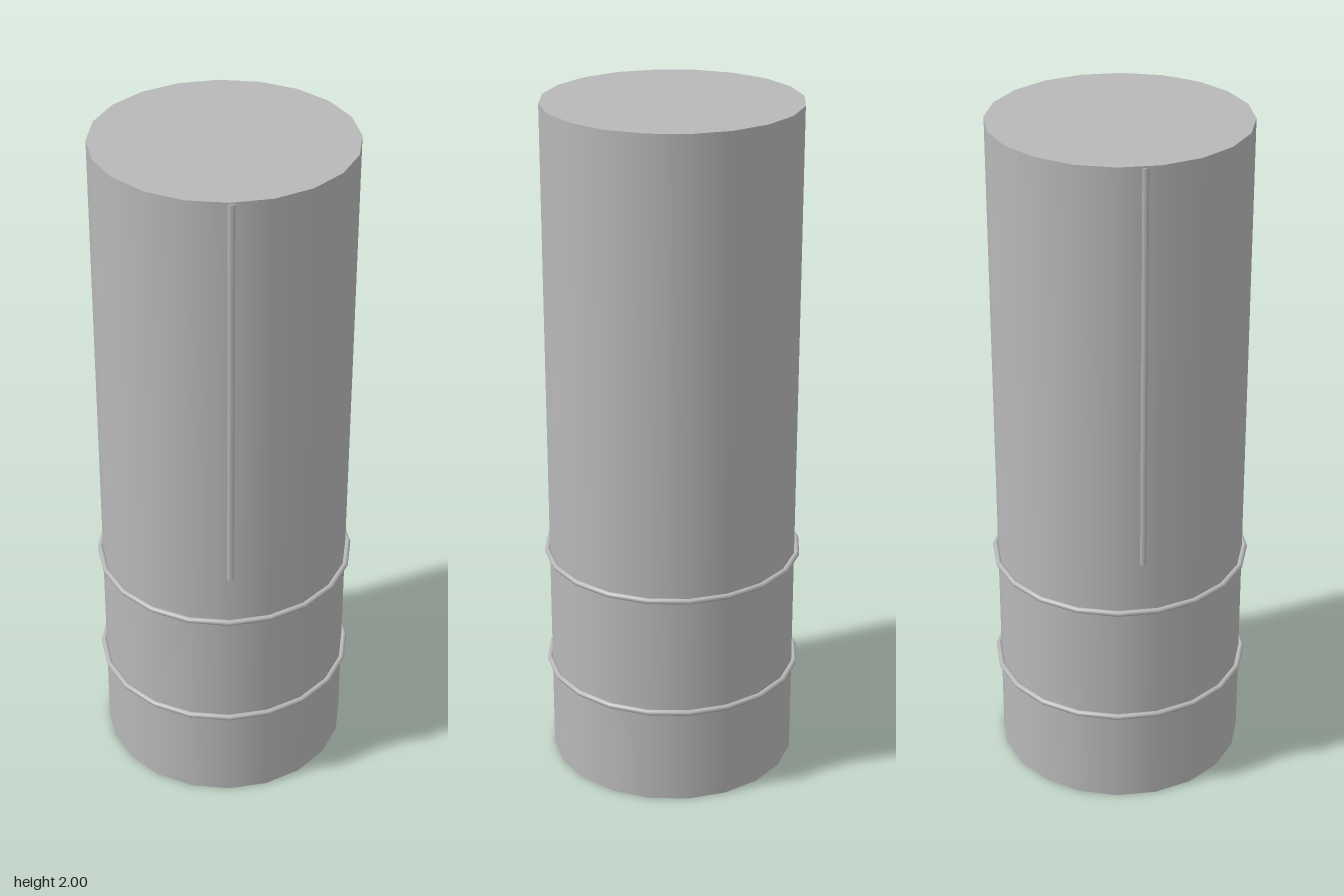
import * as THREE from 'three';

const SIDES = 20;
const RADIUS = 0.365;

export function createModel() {
  const model = new THREE.Group();
  const grey = new THREE.MeshStandardMaterial({ color: 0xb8b8b8 });
  grey.name = 'plain grey';

  function add(name, geometry, x = 0, y = 0, z = 0) {
    const mesh = new THREE.Mesh(geometry, grey);
    mesh.name = name;
    mesh.position.set(x, y, z);
    model.add(mesh);
  }

  // Stacked drum sections: base, middle band and tall upper body
  const sections = [['base', 0, 0.295], ['middleBand', 0.295, 0.655], ['upperBody', 0.655, 2]];
  for (const [name, y0, y1] of sections) {
    add(name, new THREE.CylinderGeometry(RADIUS, RADIUS, y1 - y0, SIDES, 1, true), 0, (y0 + y1) / 2);
  }

  // Flat end caps
  const cap = new THREE.CircleGeometry(RADIUS, SIDES);
  add('topCap', cap.clone().rotateX(-Math.PI / 2), 0, 2);
  add('bottomCap', cap.clone().rotateX(Math.PI / 2));

  // Thin raised rings around the joints
  for (const [name, y] of [['lowerRing', 0.295], ['upperRing', 0.657]]) {
    const ring = new THREE.TorusGeometry(0.372, 0.0085, 8, SIDES).rotateX(Math.PI / 2);
    add(name, ring, 0, y);
  }

  // Slim vertical ribs, mostly sunk into the upper body
  const ribs = [['frontRib', 0.5, 0.358], ['sideRib', 245.5, 0.354]];
  for (const [name, degrees, distance] of ribs) {
    const a = THREE.MathUtils.degToRad(degrees);
    add(name, new THREE.CylinderGeometry(0.012, 0.012, 1.185, 8),
      Math.sin(a) * distance, 1.4025, Math.cos(a) * distance);
  }

  return model;
}
